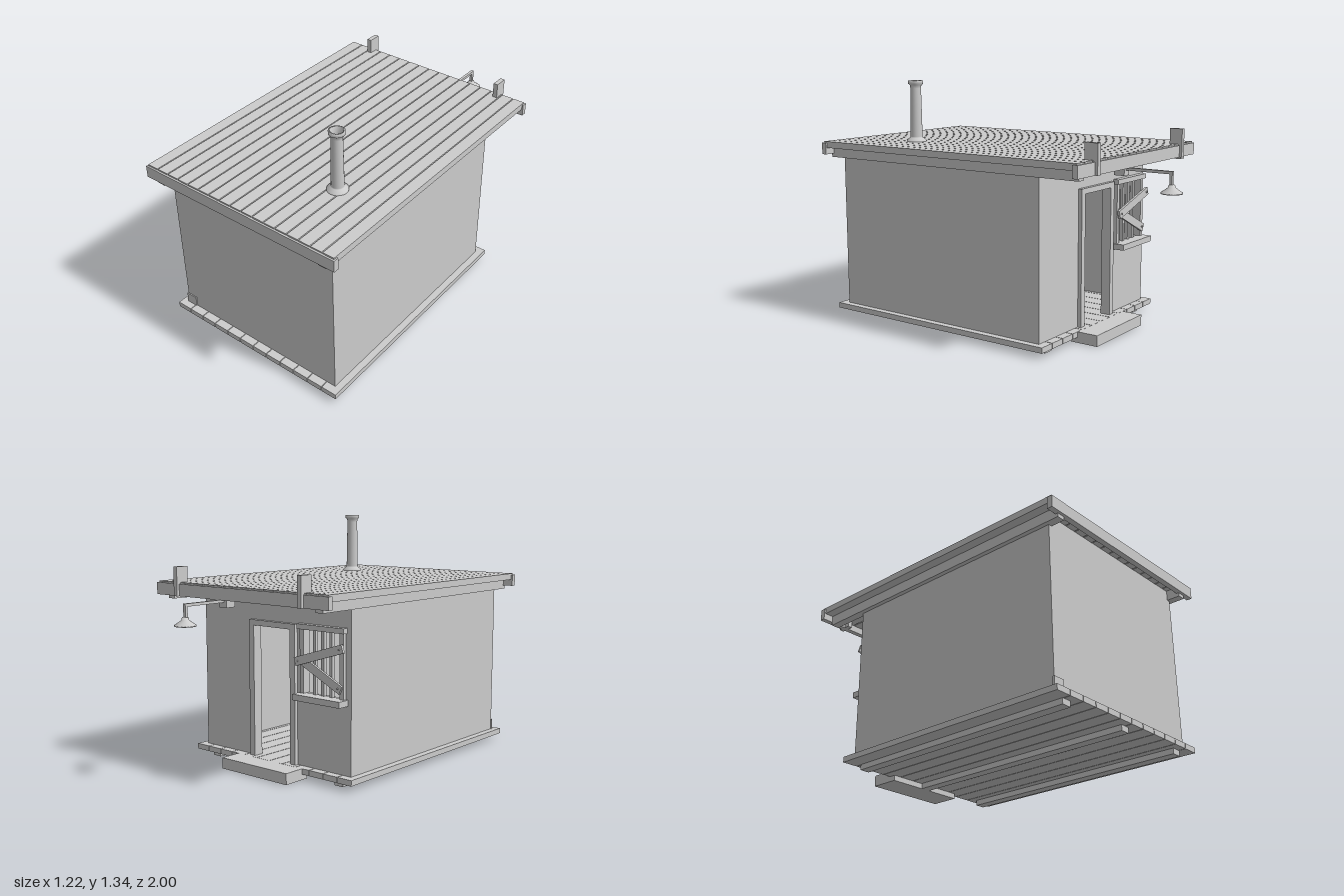
import * as THREE from 'three';

export function createModel() {
  const model = new THREE.Group();
  model.name = 'cabin';
  const grey = new THREE.MeshStandardMaterial({ color: 0xcccccc });
  grey.name = 'plain grey';
  const openGrey = new THREE.MeshStandardMaterial({ color: 0xcccccc, side: THREE.DoubleSide });
  openGrey.name = 'plain grey two sided';

  const add = (name, geometry, material = grey) => {
    const mesh = new THREE.Mesh(geometry, material);
    mesh.name = name;
    model.add(mesh);
    return mesh;
  };
  // Box given by its limits on each axis
  const box = (name, x0, x1, y0, y1, z0, z1) => {
    const mesh = add(name, new THREE.BoxGeometry(x1 - x0, y1 - y0, z1 - z0));
    mesh.position.set((x0 + x1) / 2, (y0 + y1) / 2, (z0 + z1) / 2);
    return mesh;
  };
  // Row of boards along z, with narrow gaps
  const planks = (name, count, half, gap, y0, y1, z0, z1) => {
    const pitch = (2 * half) / count;
    for (let i = 0; i < count; i++) {
      const x = -half + i * pitch;
      box(name, x + gap / 2, x + pitch - gap / 2, y0, y1, z0, z1);
    }
  };

  // Base: runners, floor and doorstep
  for (const x of [-0.448, 0, 0.448]) box('runner', x - 0.028, x + 0.028, 0, 0.03, -0.44, 0.915);
  planks('floorPlank', 12, 0.565, 0.004, 0.03, 0.06, -0.48, 0.955);
  box('doorstep', -0.235, 0.235, 0, 0.06, -0.6, -0.481);
  box('doorstepUnderside', -0.235, 0.235, 0, 0.029, -0.481, -0.44);

  // Plain walls
  box('frontWall', -0.525, 0.525, 0.06, 0.965, 0.88, 0.91);
  for (const s of [-1, 1]) {
    const [a, b] = s < 0 ? [-0.525, -0.495] : [0.495, 0.525];
    box('sideWall', a, b, 0.06, 0.965, -0.405, 0.88);
  }
  box('cornerPatch', -0.53, -0.462, 0.06, 0.12, 0.905, 0.916);

  // Back wall with door and window openings
  const wall = new THREE.Shape();
  wall.moveTo(-0.525, 0.06).lineTo(-0.135, 0.06).lineTo(-0.135, 0.78).lineTo(0.135, 0.78);
  wall.lineTo(0.135, 0.06).lineTo(0.525, 0.06).lineTo(0.525, 0.965).lineTo(-0.525, 0.965);
  wall.closePath();
  const hole = new THREE.Path();
  hole.moveTo(-0.47, 0.45).lineTo(-0.47, 0.79).lineTo(-0.22, 0.79).lineTo(-0.22, 0.45);
  hole.closePath();
  wall.holes.push(hole);
  add('backWall', new THREE.ExtrudeGeometry(wall, { depth: 0.03, bevelEnabled: false })).position.z = -0.435;

  // Door frame
  box('doorJamb', -0.165, -0.13, 0.06, 0.775, -0.456, -0.4);
  box('doorJamb', 0.13, 0.165, 0.06, 0.775, -0.456, -0.4);
  box('doorLintel', -0.165, 0.165, 0.775, 0.805, -0.456, -0.4);

  // Window frame, bars and crossed boards
  box('windowSill', -0.505, -0.19, 0.42, 0.452, -0.505, -0.43);
  box('windowHead', -0.5, -0.19, 0.785, 0.812, -0.467, -0.43);
  box('windowStile', -0.49, -0.465, 0.452, 0.785, -0.455, -0.405);
  box('windowStile', -0.225, -0.2, 0.452, 0.785, -0.455, -0.405);
  for (const x of [-0.4, -0.345, -0.29]) box('windowBar', x - 0.009, x + 0.009, 0.452, 0.785, -0.445, -0.425);
  const board = (y, z, length, angle) => {
    const mesh = add('windowBoard', new THREE.BoxGeometry(length, 0.045, 0.014));
    mesh.position.set(-0.345, y, z);
    mesh.rotation.z = angle;
    // Nail heads at both ends
    for (const s of [-1, 1]) {
      const nail = new THREE.Mesh(new THREE.CylinderGeometry(0.005, 0.005, 0.006, 8), grey);
      nail.name = 'nail';
      nail.rotation.x = Math.PI / 2;
      nail.position.set(s * (length / 2 - 0.02), 0, -0.009);
      mesh.add(nail);
    }
  };
  board(0.665, -0.474, 0.33, -0.3);
  board(0.565, -0.46, 0.3, 0.45);

  // Roof planks, end boards and eave beams
  planks('roofPlank', 17, 0.605, 0.006, 0.967, 1.003, -0.7, 0.99);
  box('frontFascia', -0.61, 0.61, 0.93, 0.995, 0.97, 1);
  box('backFascia', -0.61, 0.61, 0.93, 0.995, -0.71, -0.68);
  for (const s of [-1, 1]) {
    box('eaveBeam', s * 0.527 - 0.023, s * 0.527 + 0.023, 0.91, 0.967, -0.68, 0.985);
    box('roofPost', s * 0.442 - 0.013, s * 0.442 + 0.013, 0.93, 1.087, -0.725, -0.65);
  }

  // Stove pipe with flange and open rim
  const pipe = [[0.056, 1], [0.056, 1.01], [0.036, 1.024], [0.034, 1.03], [0.03, 1.3], [0.032, 1.318],
    [0.042, 1.325], [0.042, 1.343], [0.032, 1.343], [0.028, 1.3], [0.026, 1.02], [0, 1.02]];
  const pipeGeometry = new THREE.LatheGeometry(pipe.map(([r, y]) => new THREE.Vector2(r, y)), 20);
  add('stovePipe', pipeGeometry, openGrey).position.set(0.29, 0, 0.573);

  // Lamp on a bracket above the door
  box('lampMount', 0.09, 0.14, 0.89, 0.935, -0.69, -0.63);
  box('lampArm', 0.107, 0.123, 0.917, 0.932, -0.95, -0.69);
  box('lampDrop', 0.107, 0.123, 0.86, 0.918, -0.95, -0.935);
  const shade = [[0, 0.866], [0.016, 0.864], [0.02, 0.85], [0.055, 0.826], [0.055, 0.82], [0, 0.824]];
  const shadeGeometry = new THREE.LatheGeometry(shade.map(([r, y]) => new THREE.Vector2(r, y)), 20);
  add('lampShade', shadeGeometry, openGrey).position.set(0.115, 0, -0.945);

  return model;
}
